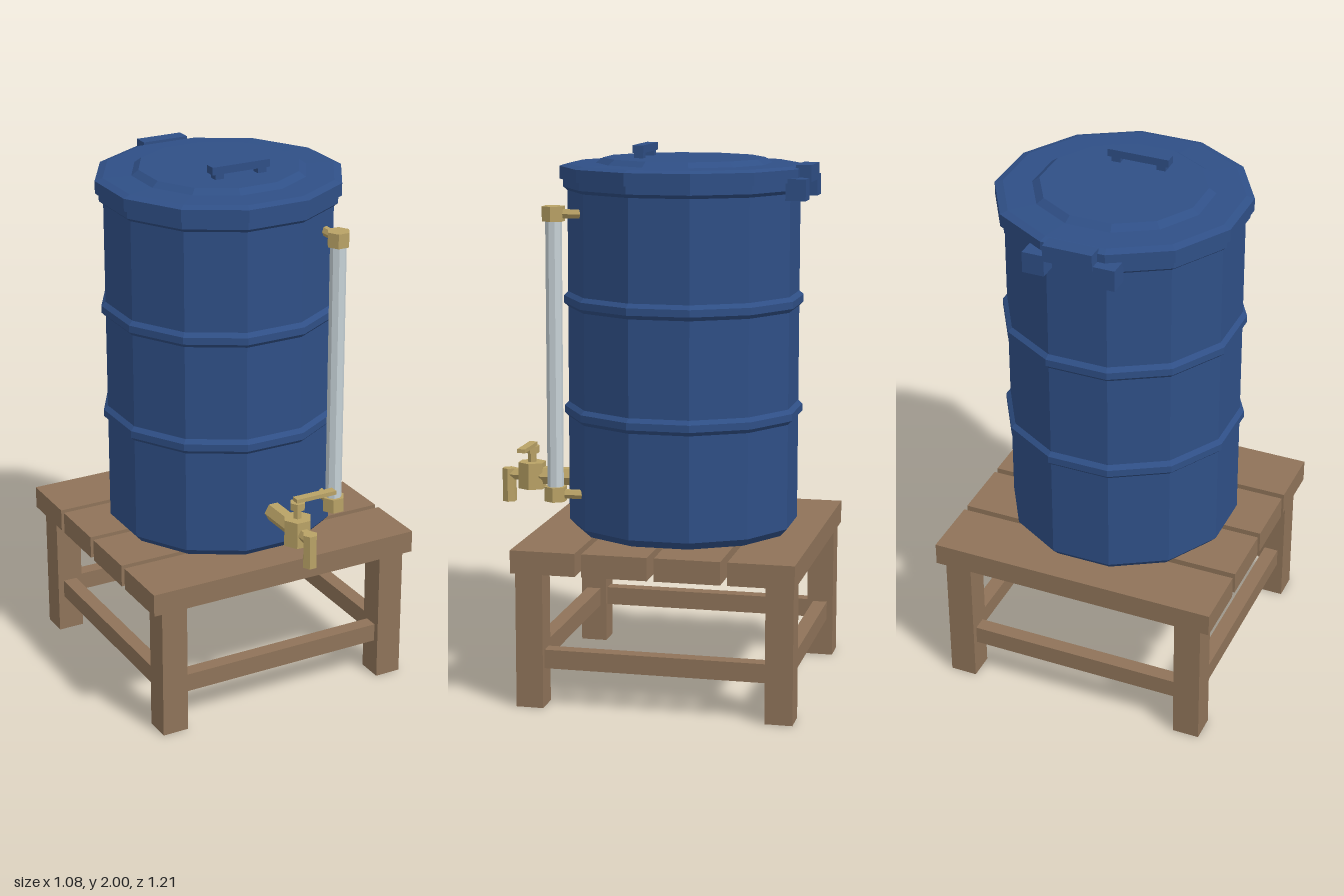
import * as THREE from 'three';

export function createModel() {
  const model = new THREE.Group();
  const mat = (name, color) => {
    const m = new THREE.MeshStandardMaterial({ color, flatShading: true });
    m.name = name;
    return m;
  };
  const blue = mat('barrelBlue', 0x2f4f86);
  const wood = mat('wood', 0x8f7359);
  const brass = mat('brass', 0xb9a266);
  const glass = mat('sightGlass', 0xc6d1d6);

  const CZ = -0.093; // centre of stand and barrel in z

  const add = (name, geometry, material, parent) => {
    const mesh = new THREE.Mesh(geometry, material);
    mesh.name = name;
    parent.add(mesh);
    return mesh;
  };
  const group = (name) => {
    const g = new THREE.Group();
    g.name = name;
    model.add(g);
    return g;
  };
  // Box given by its minimum and maximum on each axis
  const box = (name, [x0, x1], [y0, y1], [z0, z1], material, parent) =>
    add(name, new THREE.BoxGeometry(x1 - x0, y1 - y0, z1 - z0), material, parent)
      .position.set((x0 + x1) / 2, (y0 + y1) / 2, (z0 + z1) / 2);
  // Upright prism with corners on the x axis
  const post = (name, r, x, [y0, y1], z, material, parent, sides = 6, start = Math.PI / 6) =>
    add(name, new THREE.CylinderGeometry(r, r, y1 - y0, sides, 1, false, start), material, parent)
      .position.set(x, (y0 + y1) / 2, z);
  // Hexagonal pipe along z
  const pipe = (name, r, x, y, [z0, z1], parent) => {
    const g = new THREE.CylinderGeometry(r, r, z1 - z0, 6, 1, false, Math.PI / 6).rotateX(Math.PI / 2);
    add(name, g, brass, parent).position.set(x, y, (z0 + z1) / 2);
  };
  // Twelve-sided turned shape; profile radii are measured to the flats
  const turned = (name, profile, parent) => {
    const pts = profile.map(([r, y]) => new THREE.Vector2(r / Math.cos(Math.PI / 12), y));
    add(name, new THREE.LatheGeometry(pts, 12, Math.PI / 12), blue, parent).position.z = CZ;
  };

  // Wooden stand
  const stand = group('stand');
  for (let i = 0; i < 4; i++) {
    const z = CZ + (i - 1.5) * 0.263;
    box('slat', [-0.54, 0.54], [0.503, 0.587], [z - 0.119, z + 0.119], wood, stand);
  }
  for (const s of [-1, 1]) {
    const lx = s * 0.455, lz = CZ + s * 0.455;
    for (const t of [-1, 1]) {
      const z = CZ + t * 0.455;
      box('leg', [lx - 0.05, lx + 0.05], [0, 0.503], [z - 0.05, z + 0.05], wood, stand);
    }
    box('sideStretcher', [lx - 0.027, lx + 0.027], [0.143, 0.212], [CZ - 0.405, CZ + 0.405], wood, stand);
    box('crossStretcher', [-0.405, 0.405], [0.143, 0.212], [lz - 0.027, lz + 0.027], wood, stand);
  }

  // Barrel with two ribs and a rim
  const barrel = group('barrel');
  const rib = (y) => [[0.41, y - 0.028], [0.425, y - 0.013], [0.425, y + 0.013], [0.41, y + 0.028]];
  turned('barrelBody', [
    [0, 0.587], [0.385, 0.587], [0.41, 0.615],
    ...rib(1.03), ...rib(1.438),
    [0.41, 1.835], [0.425, 1.848], [0.425, 1.88], [0, 1.88],
  ], barrel);

  // Lid with raised centre and grip
  turned('lid', [
    [0, 1.877], [0.438, 1.877], [0.438, 1.923], [0.41, 1.932],
    [0.31, 1.934], [0.285, 1.953], [0, 1.953],
  ], barrel);
  box('lidGrip', [-0.115, 0.115], [1.972, 2], [0.032, 0.073], blue, barrel);
  for (const s of [-1, 1])
    box('gripFoot', [s * 0.085 - 0.017, s * 0.085 + 0.017], [1.95, 1.973], [0.036, 0.069], blue, barrel);

  // Hinge at the back
  box('hingeBar', [-0.09, 0.09], [1.877, 1.937], [-0.575, -0.518], blue, barrel);
  for (const s of [-1, 1])
    box('hingeTab', [s * 0.128 - 0.04, s * 0.128 + 0.04], [1.815, 1.892], [-0.568, -0.495], blue, barrel);

  // Sight gauge
  const gauge = group('sightGauge');
  post('gaugeTube', 0.03, 0.246, [0.76, 1.74], 0.332, glass, gauge, 8, Math.PI / 8);
  for (const y of [0.737, 1.761]) {
    post('gaugeFitting', 0.043, 0.246, [y - 0.027, y + 0.027], 0.332, brass, gauge);
    pipe('gaugeArm', 0.018, 0.246, y, [0.22, 0.32], gauge);
  }

  // Tap
  const tap = group('tap');
  pipe('tapPipe', 0.036, 0, 0.75, [0.29, 0.48], tap);
  post('tapBody', 0.054, 0, [0.7, 0.8], 0.493, brass, tap);
  post('tapStem', 0.016, 0, [0.8, 0.838], 0.493, brass, tap);
  post('tapCap', 0.029, 0, [0.835, 0.862], 0.493, brass, tap);
  box('tapLever', [-0.01, 0.152], [0.861, 0.876], [0.475, 0.506], brass, tap);
  pipe('spoutArm', 0.024, 0, 0.75, [0.51, 0.585], tap);
  post('spout', 0.027, 0, [0.645, 0.772], 0.583, brass, tap);

  return model;
}
